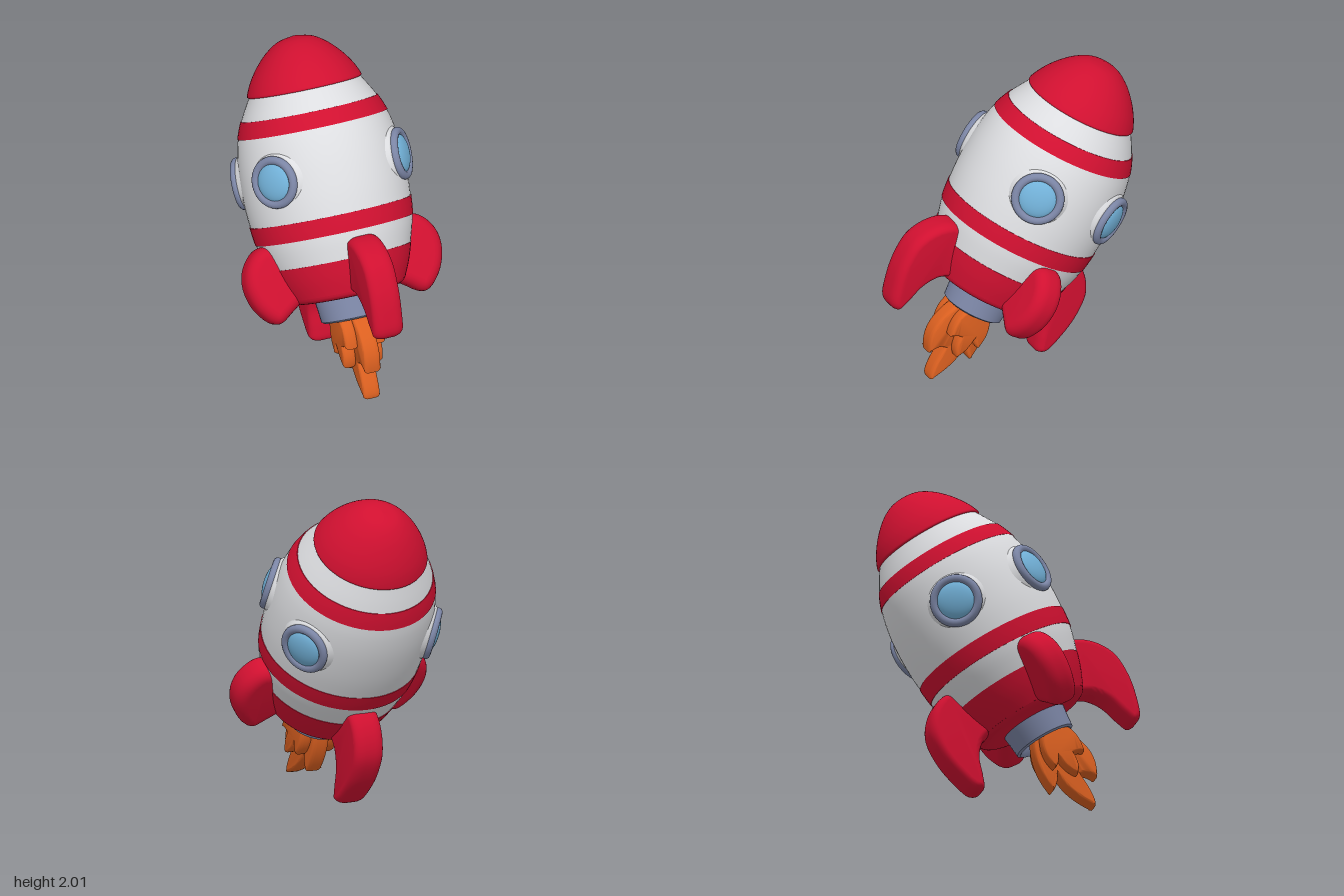
import * as THREE from 'three';
import { mergeVertices, toCreasedNormals } from 'three/addons/utils/BufferGeometryUtils.js';

const V2 = (p) => new THREE.Vector2(p[0], p[1]);
const mat = (name, color) => Object.assign(new THREE.MeshStandardMaterial({ color }), { name });

export function createModel() {
  const red = mat('red', 0xd01030);
  const white = mat('white', 0xdcdde0);
  const slate = mat('slate', 0x7c86a6);
  const blue = mat('glass blue', 0x72b1d8);
  const orange = mat('flame orange', 0xdb6020);

  const model = new THREE.Group();
  model.name = 'rocket';

  // Everything but the flame sits in a frame leaning back along the flight axis
  const ship = new THREE.Group();
  ship.name = 'ship';
  ship.position.set(0, 0.76, 0.03);
  ship.rotation.x = -0.548;
  model.add(ship);

  const add = (parent, name, geometry, material) => {
    const mesh = new THREE.Mesh(geometry, material);
    mesh.name = name;
    parent.add(mesh);
    return mesh;
  };

  // Hull: one smooth profile (radius, height) cut into colour bands
  const hull = [[0.37, -0.21], [0.415, -0.11], [0.452, 0], [0.495, 0.15], [0.513, 0.3], [0.521, 0.45],
    [0.515, 0.62], [0.495, 0.76], [0.468, 0.86], [0.425, 0.96], [0.35, 1.09]];
  const curve = new THREE.SplineCurve(hull.map(V2));
  const samples = curve.getPoints(200);
  const radiusAt = (t) => {
    const i = Math.max(1, samples.findIndex((p) => p.y >= t));
    const a = samples[i - 1], b = samples[i];
    return a.x + (b.x - a.x) * (t - a.y) / (b.y - a.y);
  };
  const band = (name, t0, t1, material, offset = 0) => {
    const n = Math.max(4, Math.ceil((t1 - t0) / 0.04));
    const pts = [];
    for (let i = 0; i <= n; i++) {
      const t = t0 + (t1 - t0) * i / n;
      pts.push(new THREE.Vector2(radiusAt(t) + offset, t));
    }
    if (offset) { // close the small step of raised bands
      pts.unshift(new THREE.Vector2(radiusAt(t0) - 0.01, t0));
      pts.push(new THREE.Vector2(radiusAt(t1) - 0.01, t1));
    }
    add(ship, name, toCreasedNormals(new THREE.LatheGeometry(pts, 64), 0.7), material);
  };
  band('tailSection', -0.209, 0, red, 0.004);
  band('lowerHull', 0, 0.169, white);
  band('lowerStripe', 0.169, 0.285, red, 0.004);
  band('middleHull', 0.285, 0.841, white);
  band('upperStripe', 0.841, 0.945, red, 0.004);
  band('upperHull', 0.945, 1.089, white);

  // Rounded underside and nose cap
  const under = new THREE.SplineCurve([[0, -0.25], [0.2, -0.25], [0.31, -0.245], [0.355, -0.23], [0.374, -0.208]].map(V2));
  add(ship, 'underside', new THREE.LatheGeometry(under.getPoints(24), 64), red);
  const nose = new THREE.SplineCurve([[0.33, 1.075], [0.362, 1.083], [0.358, 1.11], [0.323, 1.18], [0.265, 1.26],
    [0.19, 1.335], [0.105, 1.387], [0, 1.408]].map(V2));
  add(ship, 'noseCone', new THREE.LatheGeometry(nose.getPoints(40), 64), red);

  // Engine nozzle with a recessed mouth
  const nozzle = [[0, -0.34], [0.15, -0.34], [0.165, -0.385], [0.18, -0.395], [0.197, -0.385], [0.205, -0.3], [0.215, -0.22]];
  add(ship, 'nozzle', toCreasedNormals(new THREE.LatheGeometry(nozzle.map(V2), 40), 0.8), slate);

  // Rounded slab extruded from an outline, centred on its thickness
  const slab = (shape, width, bevelSize, bevelThickness, crease) => {
    const depth = width - 2 * bevelThickness;
    let g = new THREE.ExtrudeGeometry(shape, {
      depth, bevelEnabled: true, bevelSize, bevelThickness, bevelOffset: -bevelSize, bevelSegments: 6, curveSegments: 12,
    });
    g.translate(0, 0, -depth / 2);
    g.deleteAttribute('uv');
    g.deleteAttribute('normal');
    g = mergeVertices(g, 1e-4);
    return toCreasedNormals(g, crease);
  };
  const smoothShape = (pts) => {
    const c = new THREE.CatmullRomCurve3(pts.map((p) => new THREE.Vector3(p[0], p[1], 0)), true);
    return new THREE.Shape(c.getPoints(72).slice(0, -1).map((p) => new THREE.Vector2(p.x, p.y)));
  };

  // Fins: long swept pair front and back, short pair at the sides
  const longFin = [[0.3, -0.19], [0.3, 0], [0.38, 0.11], [0.5, 0.125], [0.62, 0.06], [0.705, -0.06], [0.72, -0.22],
    [0.69, -0.38], [0.635, -0.51], [0.575, -0.525], [0.535, -0.45], [0.49, -0.33], [0.42, -0.25]];
  const shortFin = [[0.28, -0.17], [0.3, 0.02], [0.4, 0.14], [0.53, 0.155], [0.63, 0.06], [0.66, -0.07],
    [0.61, -0.23], [0.5, -0.33], [0.4, -0.28]];
  const longGeo = slab(smoothShape(longFin), 0.2, 0.044, 0.07, 1.0);
  const shortGeo = slab(smoothShape(shortFin), 0.2, 0.07, 0.075, 1.0);
  [['frontFin', longGeo, -Math.PI / 2], ['backFin', longGeo, Math.PI / 2],
    ['leftFin', shortGeo, 0], ['rightFin', shortGeo, Math.PI]].forEach(([name, geo, angle]) => {
    add(ship, name, geo, red).rotation.y = angle;
  });

  // Portholes: white collar, slate ring and domed glass, facing outward
  const collarGeo = new THREE.LatheGeometry([[0.225, 0.44], [0.195, 0.475], [0.172, 0.505], [0.155, 0.525], [0, 0.525]].map(V2), 40);
  const ringGeo = new THREE.TorusGeometry(0.14, 0.027, 12, 40).rotateX(Math.PI / 2).translate(0, 0.527, 0);
  const glassGeo = new THREE.SphereGeometry(0.126, 32, 10, 0, Math.PI * 2, 0, Math.PI / 2).scale(1, 0.4, 1).translate(0, 0.522, 0);
  for (const side of [1, -1]) {
    for (const [place, angle] of [['front', 0.62], ['back', -0.57]]) {
      const pivot = new THREE.Group();
      pivot.name = `${place}${side > 0 ? 'Left' : 'Right'}Porthole`;
      pivot.position.y = 0.56;
      pivot.rotation.y = side > 0 ? -angle : Math.PI + angle;
      const facing = new THREE.Group();
      facing.name = 'portholeParts';
      facing.rotation.z = -Math.PI / 2;
      pivot.add(facing);
      add(facing, 'portholeCollar', collarGeo, white);
      add(facing, 'portholeRing', ringGeo, slate);
      add(facing, 'portholeGlass', glassGeo, blue);
      ship.add(pivot);
    }
  }

  // Flame: a tall central sheet between two smaller tongued sheets, outlines in (z, y)
  const flameShape = (start, curves) => {
    const s = new THREE.Shape();
    s.moveTo(...start);
    curves.forEach((c) => s.quadraticCurveTo(...c));
    s.closePath();
    return s;
  };
  const core = flameShape([0.14, 0.42], [
    [0.14, 0.22, 0.275, 0.08], [0.31, 0.13, 0.3, 0.2], [0.36, 0.08, 0.55, 0.012], [0.57, 0.06, 0.45, 0.22],
    [0.5, 0.25, 0.56, 0.21], [0.58, 0.4, 0.37, 0.5], [0.28, 0.56, 0.14, 0.42]]);
  const tongue = flameShape([0.17, 0.42], [
    [0.16, 0.28, 0.26, 0.2], [0.29, 0.23, 0.28, 0.28], [0.33, 0.2, 0.41, 0.18], [0.43, 0.25, 0.38, 0.32],
    [0.41, 0.34, 0.45, 0.34], [0.43, 0.44, 0.35, 0.49], [0.27, 0.52, 0.17, 0.42]]);
  const coreGeo = slab(core, 0.11, 0.016, 0.03, 0.8).rotateY(-Math.PI / 2);
  const tongueGeo = slab(tongue, 0.085, 0.016, 0.03, 0.8).rotateY(-Math.PI / 2);
  add(model, 'flameCore', coreGeo, orange);
  for (const side of [1, -1]) {
    const sheet = add(model, side > 0 ? 'leftFlame' : 'rightFlame', tongueGeo, orange);
    sheet.position.x = side * 0.058;
    sheet.rotation.z = 0;
    sheet.position.x += side * 0.033;
  }

  return model;
}
